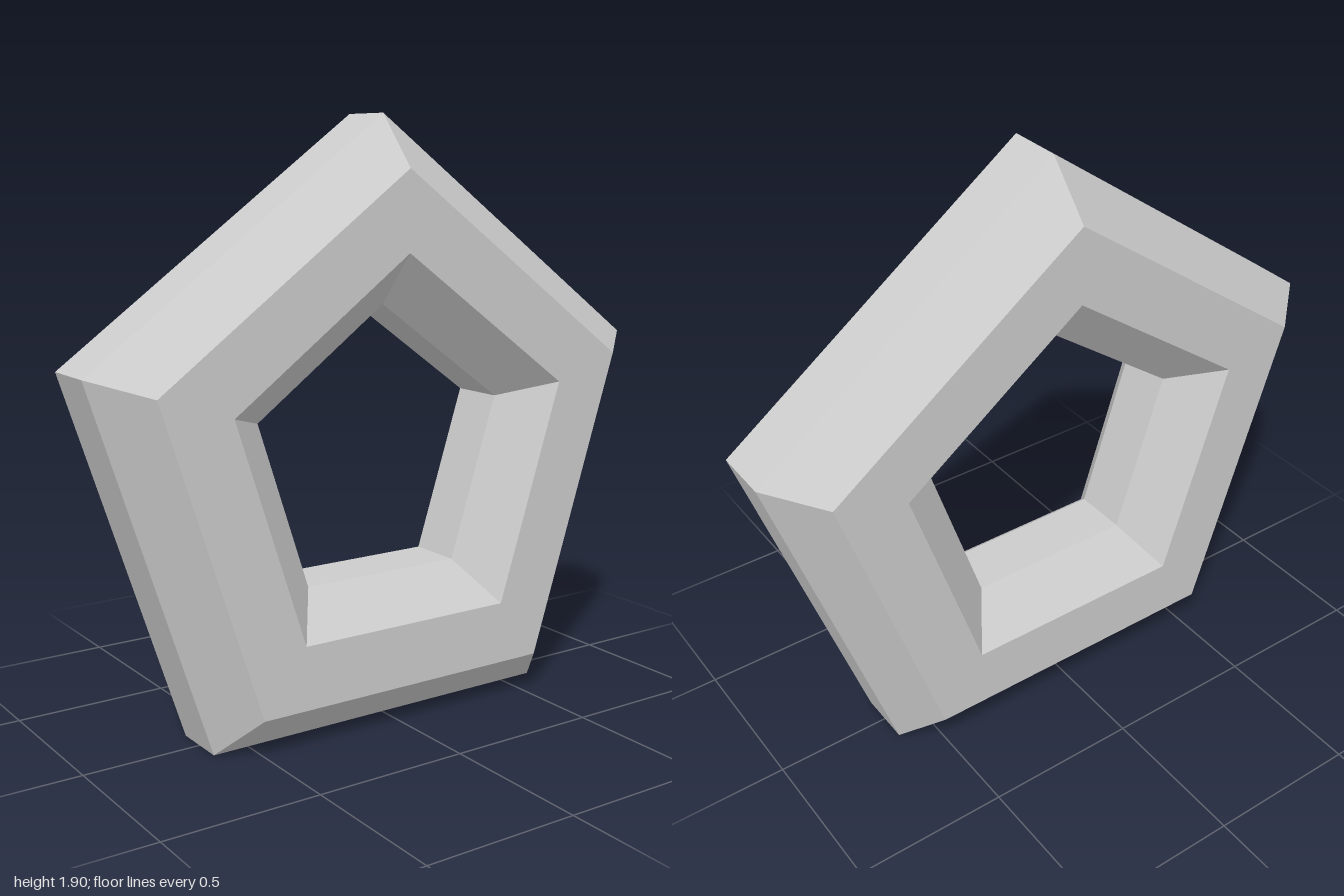
import * as THREE from 'three';

export function createModel() {
  const group = new THREE.Group();
  group.name = 'pentagonRing';

  // Bevelled eight-sided cross-section: [corner radius, depth]
  const R = 1 / Math.sin(Math.PI * 0.4);
  const profile = [
    [R, -0.091], [R, 0.091], [0.888, 0.233], [0.638, 0.233],
    [0.474, 0.091], [0.474, -0.091], [0.638, -0.233], [0.888, -0.233], [R, -0.091],
  ].map(([r, z]) => new THREE.Vector2(r, z));

  // Five-sided sweep, turned upright with one corner at the top
  const geometry = new THREE.LatheGeometry(profile, 5);
  geometry.rotateX(-Math.PI / 2);
  geometry.translate(0, R * Math.cos(Math.PI / 5), 0);

  const ring = new THREE.Mesh(
    geometry,
    new THREE.MeshStandardMaterial({ color: 0xcccccc, flatShading: true }),
  );
  ring.name = 'ring';
  group.add(ring);
  return group;
}
